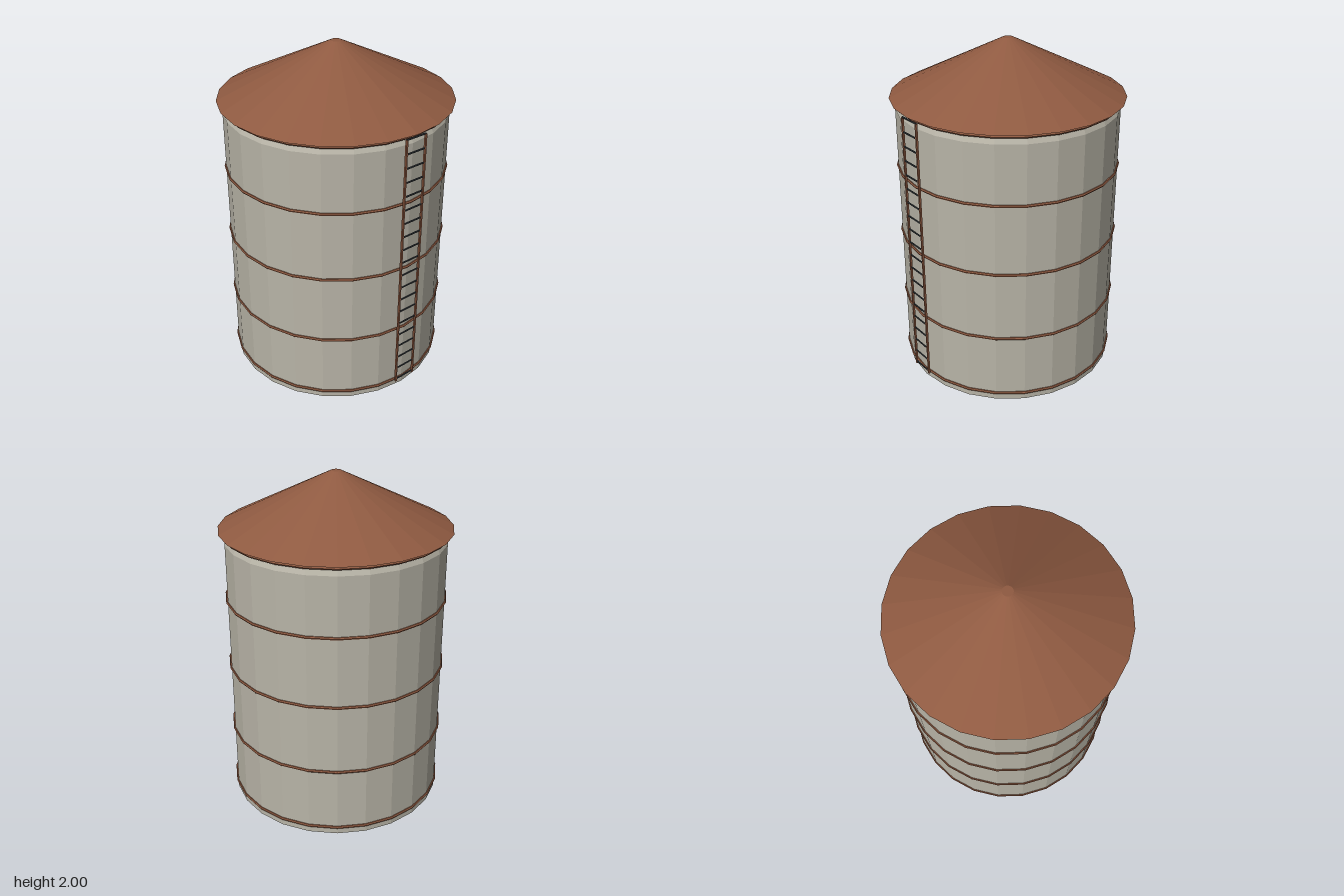
import * as THREE from 'three';

const SIDES = 24;

export function createModel() {
  const mat = (name, color) => {
    const m = new THREE.MeshStandardMaterial({ color, flatShading: true });
    m.name = name;
    return m;
  };
  const concrete = mat('pale concrete', 0xb8b4a7);
  const rust = mat('rust brown', 0x8f5a41);
  const steel = mat('dark steel', 0x343a3e);

  const model = new THREE.Group();
  model.name = 'silo';
  const add = (parent, name, geometry, material, x = 0, y = 0, z = 0) => {
    const mesh = new THREE.Mesh(geometry, material);
    mesh.name = name;
    mesh.position.set(x, y, z);
    parent.add(mesh);
    return mesh;
  };

  // Tank wall with a chamfered shoulder and closed ends
  const profile = [[0, 0], [0.643, 0], [0.643, 1.62], [0.615, 1.68], [0, 1.68]]
    .map(([r, y]) => new THREE.Vector2(r, y));
  add(model, 'tank', new THREE.LatheGeometry(profile, SIDES), concrete);

  // Conical roof with a small flat cap
  add(model, 'roof', new THREE.CylinderGeometry(0.03, 0.675, 0.32, SIDES), rust, 0, 1.84, 0);

  // Hoops round the tank
  const hoop = new THREE.TorusGeometry(0.644, 0.009, 6, SIDES).rotateX(Math.PI / 2);
  for (const y of [0.045, 0.432, 0.852, 1.272, 1.663]) add(model, 'hoop', hoop, rust, 0, y, 0);

  // Ladder on the front
  const ladder = new THREE.Group();
  ladder.name = 'ladder';
  ladder.position.z = 0.667;
  model.add(ladder);
  const rail = new THREE.BoxGeometry(0.011, 1.61, 0.011);
  for (const side of [-1, 1]) add(ladder, 'ladderRail', rail, rust, side * 0.066, 0.86, 0);
  const rung = new THREE.CylinderGeometry(0.005, 0.005, 0.132, 6).rotateZ(Math.PI / 2);
  for (let i = 0; i < 20; i++) add(ladder, 'ladderRung', rung, steel, 0, 0.07 + i * 0.084, 0);

  return model;
}
